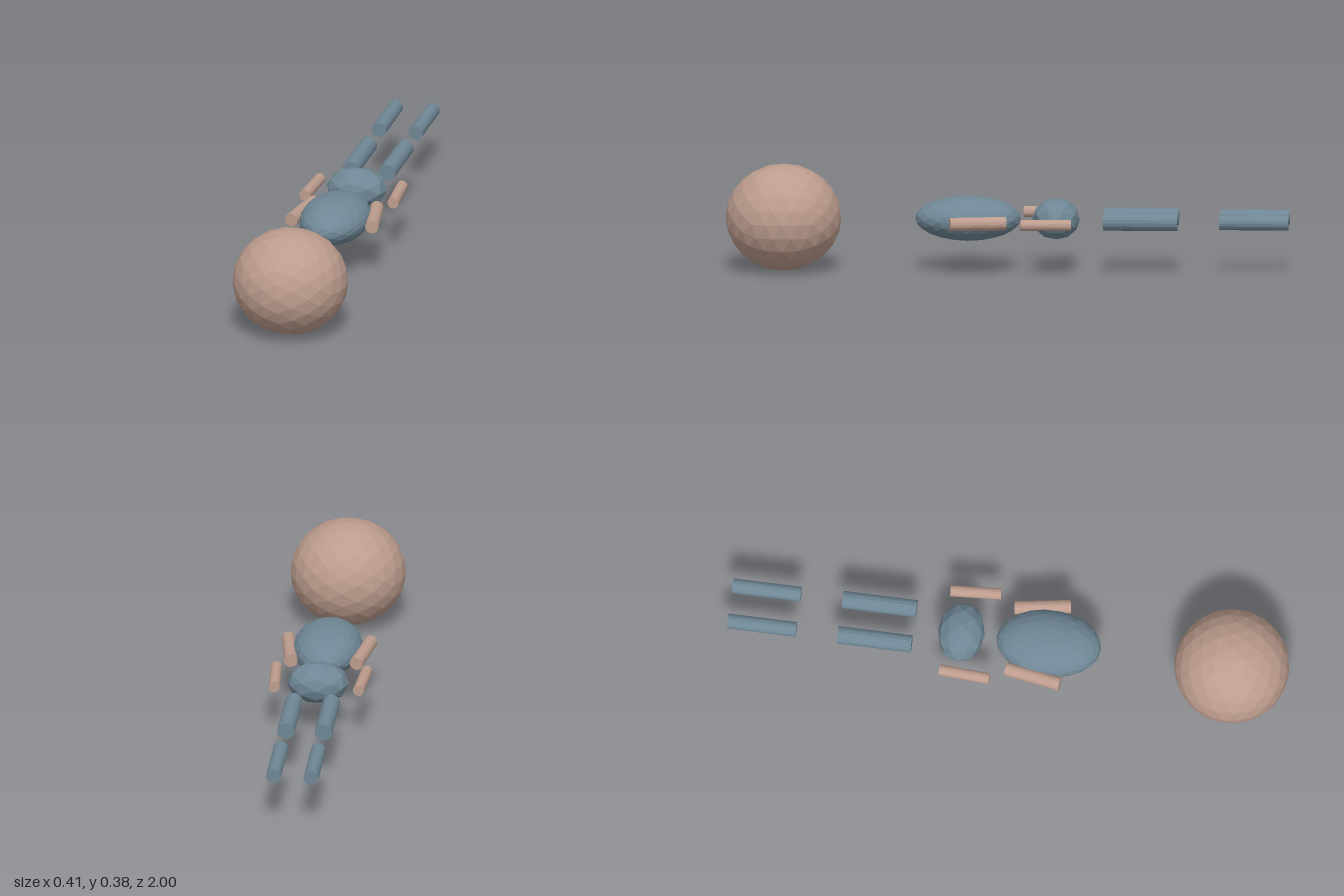
import * as THREE from 'three';

const skin = new THREE.MeshStandardMaterial({ color: 0xbc9c8d, flatShading: true });
skin.name = 'skin';
const cloth = new THREE.MeshStandardMaterial({ color: 0x6f8795, flatShading: true });
cloth.name = 'slate cloth';

const MID_Y = 0.19; // every part is centred on this height

// Icosphere made by repeated midpoint splitting
function icosphere(splits) {
  const pos = new THREE.IcosahedronGeometry(1, 0).getAttribute('position');
  let points = [];
  for (let i = 0; i < pos.count; i++) points.push(new THREE.Vector3().fromBufferAttribute(pos, i));
  const mid = (a, b) => a.clone().add(b).normalize();
  for (let s = 0; s < splits; s++) {
    const next = [];
    for (let i = 0; i < points.length; i += 3) {
      const [a, b, c] = points.slice(i, i + 3);
      const ab = mid(a, b), bc = mid(b, c), ca = mid(c, a);
      next.push(a, ab, ca, ab, b, bc, ca, bc, c, ab, bc, ca);
    }
    points = next;
  }
  return new THREE.BufferGeometry().setFromPoints(points);
}

// Faceted ellipsoid with the given radii
function ellipsoid(name, material, splits, rx, ry, rz, z) {
  const geometry = icosphere(splits).scale(rx, ry, rz);
  geometry.computeVertexNormals();
  const mesh = new THREE.Mesh(geometry, material);
  mesh.name = name;
  mesh.position.set(0, MID_Y, z);
  return mesh;
}

// Cylinder lying along z, turned outwards by a few degrees
function limb(name, material, radius, length, x, z, degrees) {
  const geometry = new THREE.CylinderGeometry(radius, radius, length, 16).rotateX(Math.PI / 2);
  const mesh = new THREE.Mesh(geometry, material);
  mesh.name = name;
  mesh.position.set(x, MID_Y, z);
  mesh.rotation.y = THREE.MathUtils.degToRad(degrees);
  return mesh;
}

export function createModel() {
  const model = new THREE.Group();
  model.name = 'lyingFigure';

  model.add(
    ellipsoid('head', skin, 2, 0.206, 0.19, 0.205, 0.795),
    ellipsoid('torso', cloth, 2, 0.123, 0.079, 0.187, 0.14),
    ellipsoid('hips', cloth, 1, 0.111, 0.074, 0.084, -0.173)
  );

  // Arms and legs, mirrored
  for (const [side, s] of [['left', 1], ['right', -1]]) {
    model.add(
      limb(side + 'UpperArm', skin, 0.024, 0.2, s * 0.132, 0.1, s * 9),
      limb(side + 'Forearm', skin, 0.02, 0.18, s * 0.156, -0.142, s * 3.5),
      limb(side + 'Thigh', cloth, 0.031, 0.264, s * 0.067, -0.474, 0),
      limb(side + 'Shin', cloth, 0.0265, 0.245, s * 0.067, -0.8775, 0)
    );
  }
  return model;
}
